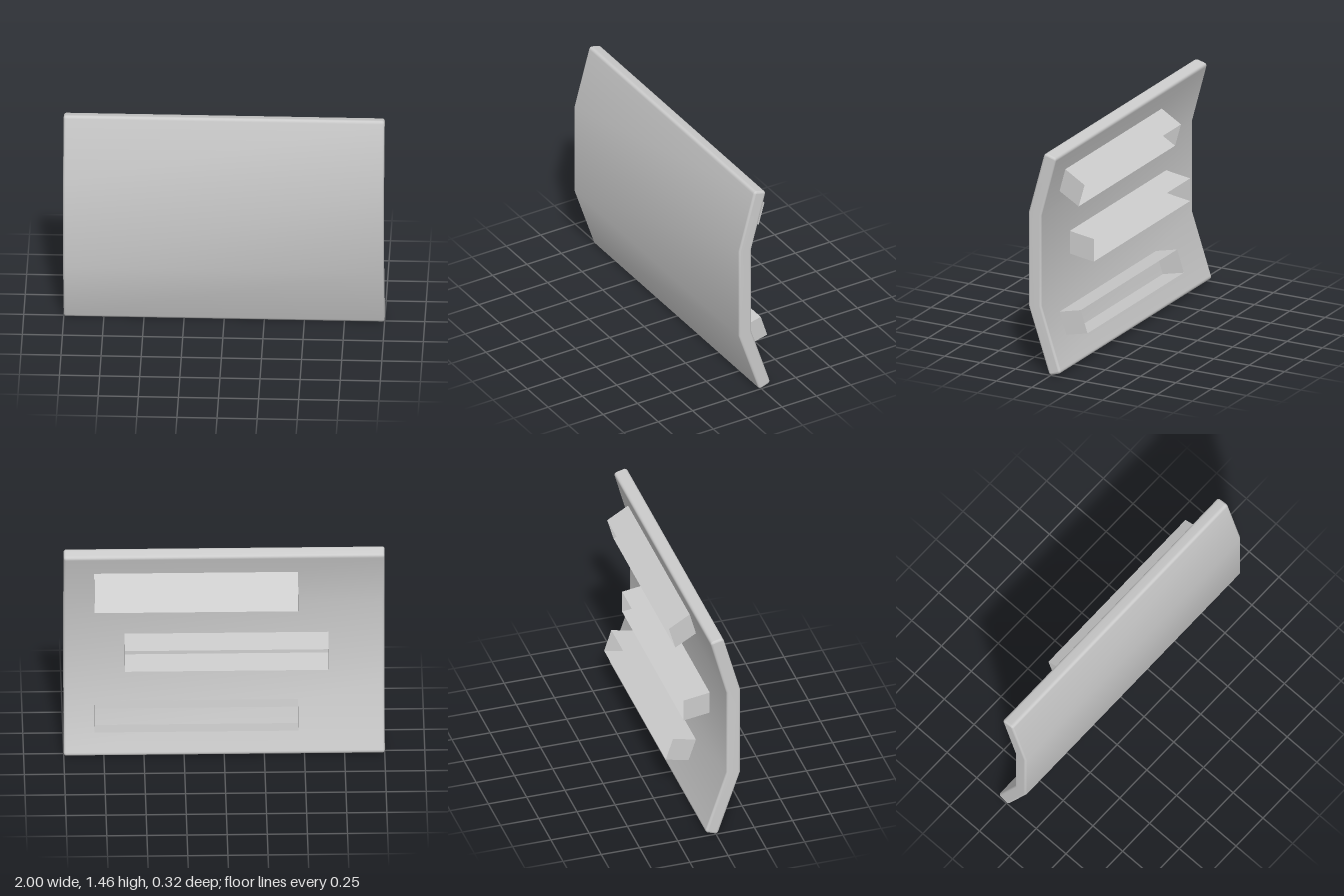
import * as THREE from 'three';
import { mergeVertices } from 'three/addons/utils/BufferGeometryUtils.js';

const material = new THREE.MeshStandardMaterial({ color: 0xcccccc });
const thinMaterial = new THREE.MeshStandardMaterial({ color: 0xcccccc, side: THREE.DoubleSide });

// Bent slab: side profile as [z, y, corner radius], extruded across x with softened ends
function createPanel() {
  const bevel = 0.014;
  const profile = [
    [0.048, 1.468, 0.022], [0.16, 1.06, 0], [0.16, 0.44, 0], [0.012, 0, 0.022],
    [-0.07, 0.028, 0.022], [0.07, 0.452, 0], [0.07, 1.048, 0], [-0.037, 1.445, 0.022],
  ];
  const points = profile.map(([z, y]) => new THREE.Vector2(-z, y));
  const shape = new THREE.Shape();
  points.forEach((p, i) => {
    const radius = profile[i][2];
    const toward = (q) => p.clone().add(q.clone().sub(p).setLength(radius));
    const a = toward(points[(i + 7) % 8]);
    const b = toward(points[(i + 1) % 8]);
    if (i === 0) shape.moveTo(a.x, a.y);
    else shape.lineTo(a.x, a.y);
    if (radius > 0) shape.quadraticCurveTo(p.x, p.y, b.x, b.y);
  });
  shape.closePath();

  let geometry = new THREE.ExtrudeGeometry(shape, {
    depth: 2 - 2 * bevel, curveSegments: 4,
    bevelThickness: bevel, bevelSize: bevel, bevelOffset: -bevel, bevelSegments: 3,
  });
  geometry.translate(0, 0, -1 + bevel).rotateY(Math.PI / 2);

  // Share vertices so the bends and rounded edges shade smoothly
  geometry.deleteAttribute('uv');
  geometry.deleteAttribute('normal');
  geometry = mergeVertices(geometry, 1e-4);
  geometry.computeVertexNormals();
  const panel = new THREE.Mesh(geometry, material);
  panel.name = 'bentPanel';
  return panel;
}

// Open-backed sleeve of four thin walls; side corners are [z, y]
function createSleeve({ name, x0, x1, rootTop, rootBottom, tipTop, tipBottom }) {
  const at = (x, [z, y]) => [x, y, z];
  const walls = [
    [at(x0, rootTop), at(x1, rootTop), at(x1, tipTop), at(x0, tipTop)],
    [at(x0, rootBottom), at(x0, tipBottom), at(x1, tipBottom), at(x1, rootBottom)],
    [at(x0, rootTop), at(x0, tipTop), at(x0, tipBottom), at(x0, rootBottom)],
    [at(x1, rootTop), at(x1, rootBottom), at(x1, tipBottom), at(x1, tipTop)],
  ];
  const positions = walls.flatMap(([a, b, c, d]) => [a, b, c, a, c, d]).flat();
  const geometry = new THREE.BufferGeometry();
  geometry.setAttribute('position', new THREE.Float32BufferAttribute(positions, 3));
  geometry.computeVertexNormals();
  const sleeve = new THREE.Mesh(geometry, thinMaterial);
  sleeve.name = name;
  return sleeve;
}

export function createModel() {
  const model = new THREE.Group();
  model.name = 'bentPanelWithSleeves';
  model.add(createPanel());

  // Three sleeves on the back, the middle one shifted sideways
  const sleeves = [
    { name: 'upperSleeve', x0: -0.46, x1: 0.81,
      rootTop: [0, 1.31], rootBottom: [0.042, 1.16], tipTop: [-0.137, 1.228], tipBottom: [-0.095, 1.08] },
    { name: 'middleSleeve', x0: -0.65, x1: 0.62,
      rootTop: [0.072, 0.83], rootBottom: [0.072, 0.68], tipTop: [-0.1, 0.805], tipBottom: [-0.1, 0.655] },
    { name: 'lowerSleeve', x0: -0.46, x1: 0.81,
      rootTop: [0.042, 0.36], rootBottom: [-0.006, 0.215], tipTop: [-0.11, 0.396], tipBottom: [-0.157, 0.25] },
  ];
  sleeves.forEach((s) => model.add(createSleeve(s)));
  return model;
}
